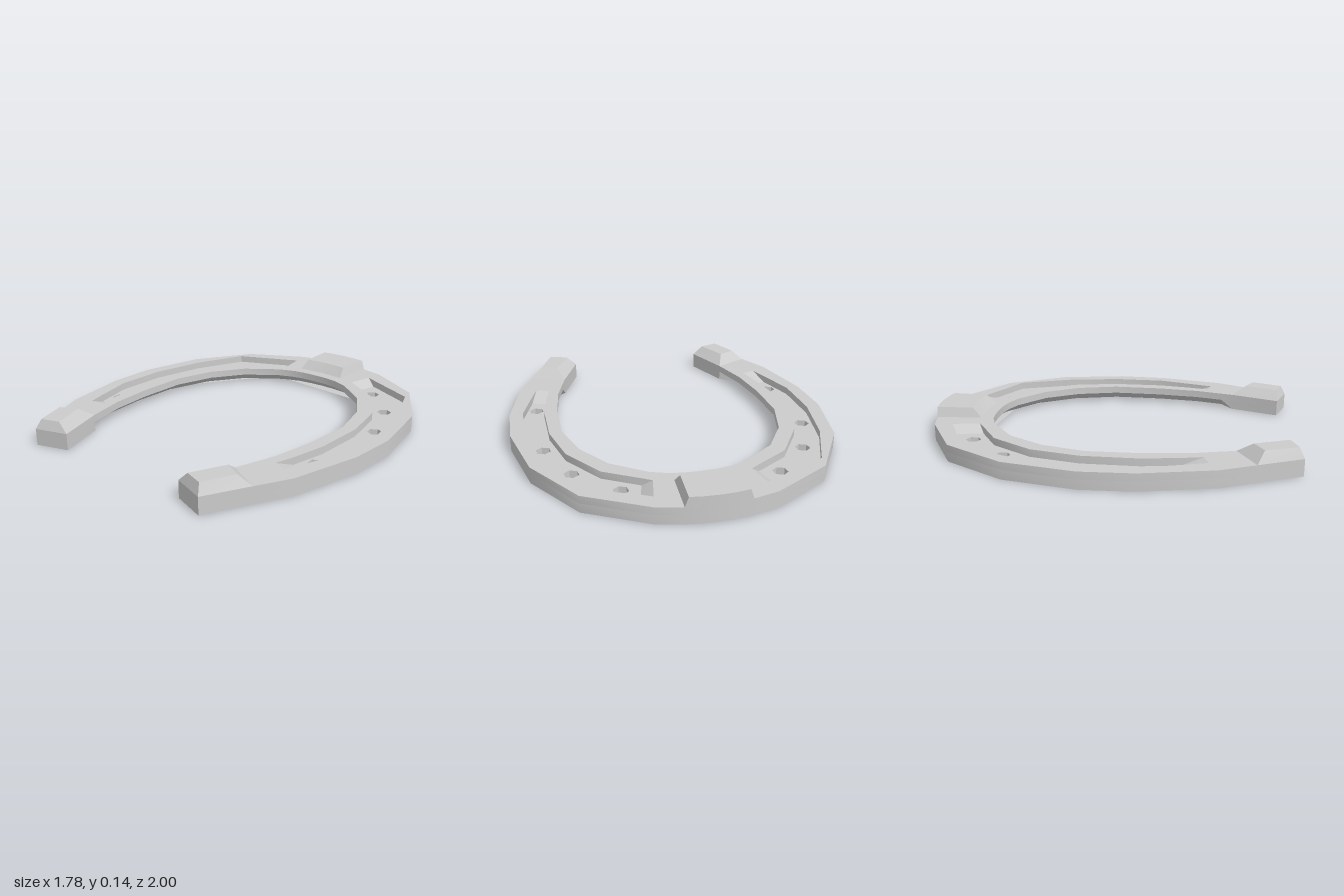
import * as THREE from 'three';
import { toCreasedNormals } from 'three/addons/utils/BufferGeometryUtils.js';

const STEP = 0.05, TOP = 0.09, STUD = 0.143, BEVEL = 0.08;

// All plan outlines are [x, z] points
const outerHalf = [[0.08, -0.996], [0.16, -0.985], [0.3, -0.95], [0.614, -0.77], [0.815, -0.44],
  [0.89, -0.06], [0.878, 0.215], [0.79, 0.59], [0.7, 0.77], [0.587, 1]];
const innerHalf = [[0.08, -0.672], [0.155, -0.661], [0.25, -0.625], [0.43, -0.49], [0.55, -0.3],
  [0.614, -0.066], [0.608, 0.215], [0.577, 0.453], [0.532, 0.61], [0.513, 0.676], [0.407, 0.94]];
const grooveOuter = [[0.28, -0.857], [0.335, -0.828], [0.63, -0.69], [0.75, -0.395], [0.81, -0.08],
  [0.804, 0.215], [0.735, 0.44], [0.7, 0.543]];
const grooveInner = [[0.25, -0.71], [0.3, -0.677], [0.48, -0.565], [0.625, -0.34], [0.683, -0.08],
  [0.683, 0.215], [0.65, 0.41], [0.624, 0.517]];
const nails = [[0.405, -0.7], [0.615, -0.485], [0.728, -0.2], [0.72, 0.32]];

const flip = (pts) => pts.map(([x, z]) => [-x, z]);
const side = (pts, s) => (s > 0 ? pts : flip(pts).reverse());
const vectors = (pts) => pts.map(([x, z]) => new THREE.Vector2(x, -z));
const band = (a, b) => [...a, ...[...b].reverse()];
const nailHole = ([cx, cz]) => Array.from({ length: 6 }, (_, i) => {
  const a = i * Math.PI / 3 + 0.4;
  return [cx + 0.041 * Math.cos(a), cz + 0.041 * Math.sin(a)];
});

function planShape(outline, holes) {
  const shape = new THREE.Shape(vectors(outline));
  holes.forEach((h) => shape.holes.push(new THREE.Path(vectors(h))));
  return shape;
}

function fromTriangles(values) {
  const g = new THREE.BufferGeometry();
  g.setAttribute('position', new THREE.Float32BufferAttribute(values, 3));
  g.computeVertexNormals();
  return g;
}

// Upright slab without the cap at the joint height
function slab(shape, y0, y1) {
  const g = new THREE.ExtrudeGeometry(shape, { depth: y1 - y0, bevelEnabled: false });
  g.rotateX(-Math.PI / 2).translate(0, y0, 0);
  const p = g.attributes.position.array, kept = [];
  for (let i = 0; i < p.length; i += 9) {
    const atJoint = [1, 4, 7].every((k) => Math.abs(p[i + k] - STEP) < 1e-4);
    if (!atJoint) kept.push(...p.slice(i, i + 9));
  }
  return fromTriangles(kept);
}

// Tapered block between a lower and an upper ring, open underneath
function taperedBlock(lower, upper, y0, y1) {
  const v = [], n = lower.length;
  const cx = upper.reduce((s, p) => s + p[0], 0) / n;
  const cz = upper.reduce((s, p) => s + p[1], 0) / n;
  for (let i = 0; i < n; i++) {
    const j = (i + 1) % n;
    const a = [lower[i][0], y0, lower[i][1]], b = [lower[j][0], y0, lower[j][1]];
    const c = [upper[j][0], y1, upper[j][1]], d = [upper[i][0], y1, upper[i][1]];
    v.push(...a, ...b, ...c, ...a, ...c, ...d, ...d, ...c, cx, y1, cz);
  }
  return fromTriangles(v);
}

// Slope joining a groove end on the floor to the top face
function ramp(lowA, lowB, highA, highB) {
  const [a, b] = [lowA, lowB].map(([x, z]) => [x, STEP, z]);
  const [c, d] = [highA, highB].map(([x, z]) => [x, TOP, z]);
  return fromTriangles([...a, ...b, ...d, ...a, ...d, ...c]);
}

export function createModel() {
  const group = new THREE.Group();
  const material = new THREE.MeshStandardMaterial({ color: 0xcccccc });
  const thin = new THREE.MeshStandardMaterial({ color: 0xcccccc, side: THREE.DoubleSide });
  const add = (name, geometry, mat = material) => {
    const mesh = new THREE.Mesh(toCreasedNormals(geometry, 0.52), mat);
    mesh.name = name;
    group.add(mesh);
  };

  // The outline runs counter-clockwise so that hole walls face into the holes
  const outer = [...flip(outerHalf).reverse(), [0, -1], ...outerHalf];
  const inner = [...flip(innerHalf).reverse(), [0, -0.675], ...innerHalf];
  const outline = band(inner, outer);
  const groove = band(grooveOuter, grooveInner);
  const holes = [...nails, ...flip(nails)].map(nailHole);

  // Lower body: the bottom inner rim is pushed outward into a bevel, except at the heels
  const lower = slab(planShape(outline, holes), 0, STEP);
  const pos = lower.attributes.position;
  const bevelled = inner.slice(2, -2);
  for (let i = 0; i < pos.count; i++) {
    const x = pos.getX(i), z = pos.getZ(i);
    if (pos.getY(i) > 1e-4) continue;
    if (!bevelled.some((q) => Math.hypot(q[0] - x, q[1] - z) < 1e-4)) continue;
    const dz = Math.min(z, 0), len = Math.hypot(x, dz);
    pos.setX(i, x + BEVEL * x / len);
    pos.setZ(i, z + BEVEL * dz / len);
  }
  add('lowerBody', lower);

  // Upper body, cut through by the two nail grooves
  add('upperBody', slab(planShape(outline, [groove, flip(groove)]), STEP, TOP));

  // Groove floors with nail holes, and the slopes at their ends
  for (const s of [1, -1]) {
    const label = s > 0 ? 'left' : 'right';
    const m = (p) => [p[0] * s, p[1]];
    const go = grooveOuter.map(m), gi = grooveInner.map(m);
    const floorShape = planShape(band(go.slice(1, -1), gi.slice(1, -1)), nails.map(m).map(nailHole));
    const floor = new THREE.ShapeGeometry(floorShape);
    floor.rotateX(-Math.PI / 2).translate(0, STEP, 0);
    add(label + 'GrooveFloor', floor);
    add(label + 'GrooveToeRamp', ramp(go[1], gi[1], go[0], gi[0]), thin);
    add(label + 'GrooveHeelRamp', ramp(go[6], gi[6], go[7], gi[7]), thin);

    // Raised heel studs
    const base = [[0.587, 1], [0.7, 0.77], [0.513, 0.676], [0.407, 0.94]];
    const crown = [[0.568, 0.972], [0.638, 0.805], [0.545, 0.757], [0.465, 0.938]];
    add(label + 'HeelStud', taperedBlock(side(base, s), side(crown, s), TOP, STUD));
  }

  // Raised toe grip, its back following the outer rim
  const toeBase = [[-0.15, -0.732], [0, -0.744], [0.15, -0.732], [0.165, -0.984],
    [0.08, -0.996], [0, -1], [-0.08, -0.996], [-0.165, -0.984]];
  const toeCrown = [[-0.135, -0.783], [0, -0.793], [0.135, -0.783], [0.147, -0.986],
    [0.08, -0.996], [0, -1], [-0.08, -0.996], [-0.147, -0.986]];
  add('toeGrip', taperedBlock(toeBase, toeCrown, TOP, STUD));
  return group;
}
